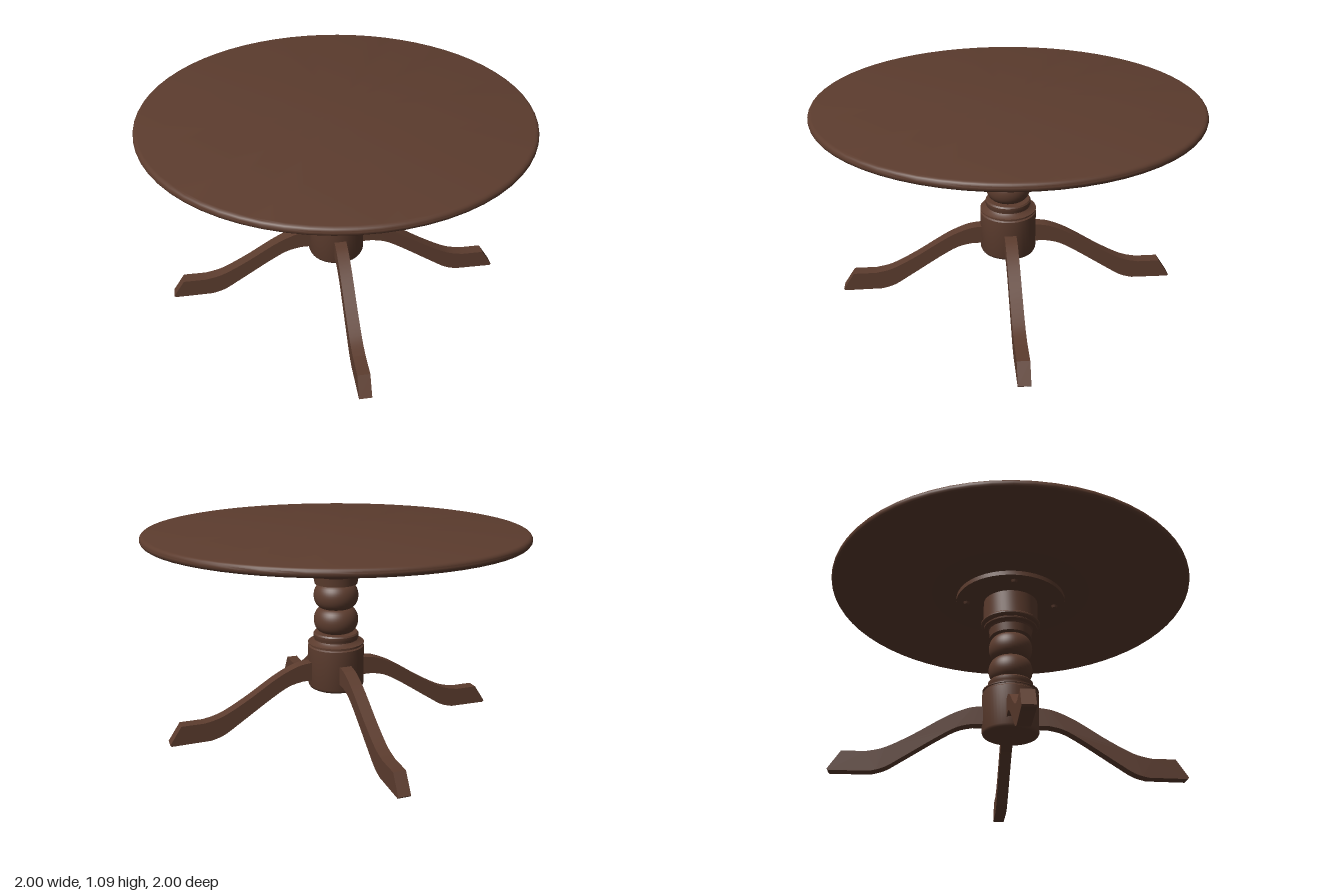
import * as THREE from 'three';
import { toCreasedNormals } from 'three/addons/utils/BufferGeometryUtils.js';

const LEG_ANGLE = -0.913; // first leg; the others follow at quarter turns

export function createModel() {
  const table = new THREE.Group();
  table.name = 'pedestalTable';
  const wood = new THREE.MeshStandardMaterial({ color: 0x5c3c2e });
  wood.name = 'dark brown wood';

  const add = (name, geometry) => {
    const mesh = new THREE.Mesh(toCreasedNormals(geometry, 0.6), wood);
    mesh.name = name;
    table.add(mesh);
    return mesh;
  };
  // profile of [radius, height] pairs, from bottom to top
  const turned = (name, profile, segments = 48) =>
    add(name, new THREE.LatheGeometry(profile.map(([r, y]) => new THREE.Vector2(r, y)), segments));

  // Round top with a softened rim
  const rim = [];
  for (let i = 0; i <= 8; i++) {
    const a = -Math.PI / 2 + (Math.PI * i) / 8;
    rim.push([0.979 + 0.021 * Math.cos(a), 1.071 + 0.022 * Math.sin(a)]);
  }
  turned('tableTop', [[0, 1.049], ...rim, [0, 1.093]], 64);

  // Mounting plate under the top
  turned('mountingPlate', [[0, 1.024], [0.308, 1.024], [0.308, 1.05], [0, 1.05]]);

  // Upper column block with its moulding
  turned('upperColumn', [
    [0, 0.8], [0.115, 0.8], [0.12, 0.845], [0.127, 0.853], [0.148, 0.857], [0.15, 0.864], [0.14, 0.872],
    [0.158, 0.874], [0.165, 0.881], [0.165, 0.889], [0.158, 0.896], [0.152, 0.897], [0.152, 1.024], [0, 1.024],
  ]);

  // Two turned balls
  for (const [name, y] of [['upperBall', 0.734], ['lowerBall', 0.6]]) {
    const profile = [];
    for (let i = 0; i <= 16; i++) {
      const a = -Math.PI / 2 + (Math.PI * i) / 16;
      profile.push([0.07 + 0.05 * Math.cos(a), y + 0.069 * Math.sin(a)]);
    }
    turned(name, [[0, y - 0.069], ...profile, [0, y + 0.069]]);
  }

  // Ring and cove between the balls and the base block
  turned('lowerRing', [
    [0, 0.47], [0.152, 0.47], [0.152, 0.476], [0.13, 0.481], [0.118, 0.492], [0.118, 0.497], [0.122, 0.503],
    [0.122, 0.523], [0.116, 0.531], [0, 0.531],
  ]);

  // Base block carrying the legs
  turned('baseBlock', [
    [0, 0.222], [0.138, 0.222], [0.146, 0.227], [0.152, 0.24], [0.152, 0.456], [0.144, 0.462], [0.144, 0.471], [0, 0.471],
  ]);

  // Swept leg outline: x runs outwards, y up
  const v = (points) => points.map(([x, y]) => new THREE.Vector2(x, y));
  const outline = new THREE.Shape();
  outline.moveTo(0.1, 0.275);
  outline.lineTo(0.2, 0.275);
  outline.splineThru(v([[0.28, 0.255], [0.38, 0.198], [0.55, 0.085], [0.64, 0.028], [0.71, 0.006]]));
  outline.lineTo(0.918, 0.004);
  outline.lineTo(0.925, 0.012);
  outline.lineTo(0.862, 0.109);
  outline.lineTo(0.74, 0.109);
  outline.splineThru(v([[0.645, 0.133], [0.51, 0.205], [0.34, 0.312], [0.23, 0.362], [0.16, 0.375]]));
  outline.lineTo(0.1, 0.375);
  const width = 0.064;
  const legGeometry = new THREE.ExtrudeGeometry(outline, { depth: width, bevelEnabled: false, curveSegments: 5 });
  legGeometry.translate(0, 0, -width / 2);

  // Four legs, each in line with a plate screw
  for (let i = 0; i < 4; i++) {
    const angle = LEG_ANGLE + (i * Math.PI) / 2;
    add('leg' + (i + 1), legGeometry).rotation.y = angle;

    const screw = add('plateScrew' + (i + 1), new THREE.CylinderGeometry(0.019, 0.013, 0.014, 12));
    screw.position.set(0.25 * Math.cos(angle), 1.018, -0.25 * Math.sin(angle));
  }
  return table;
}
